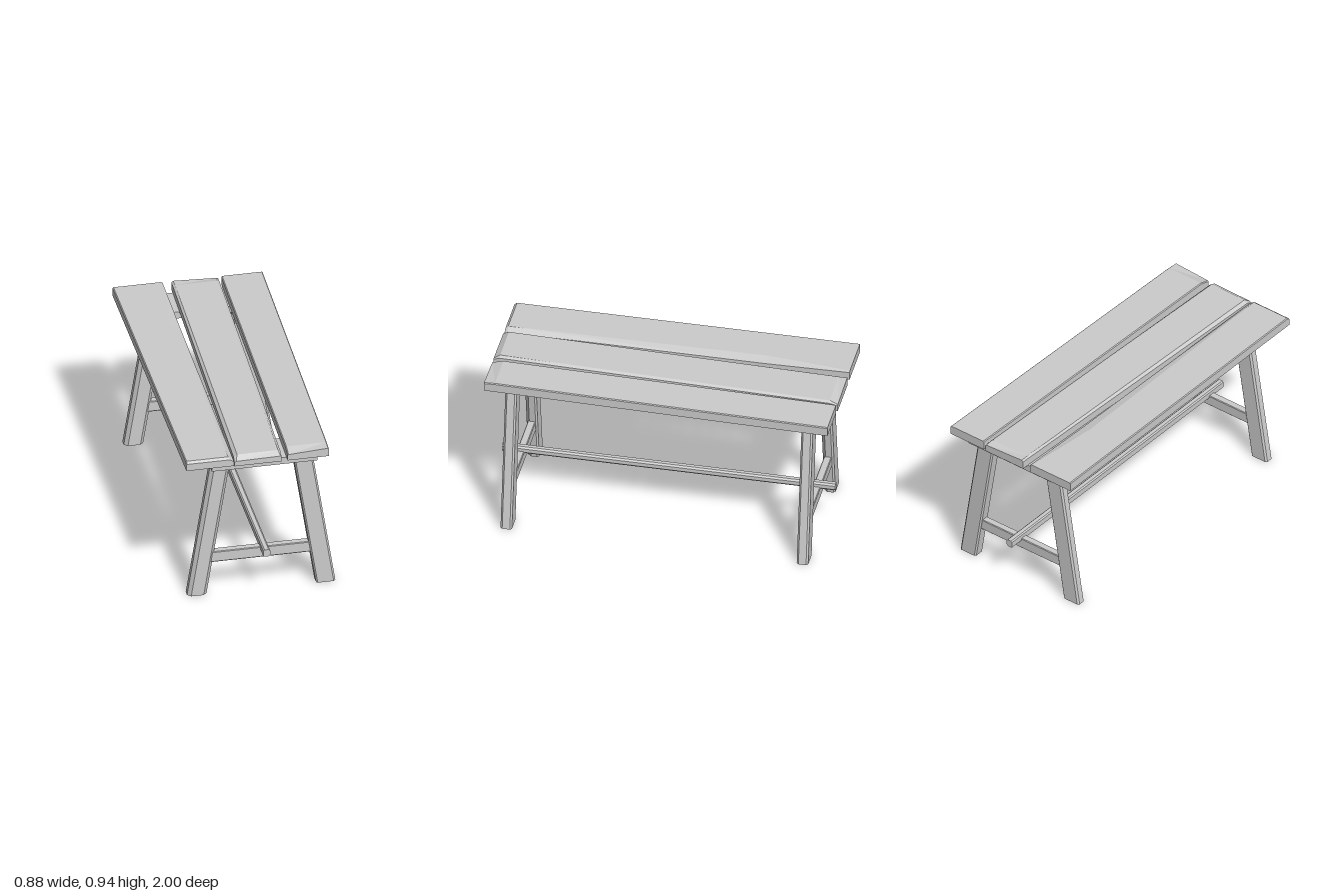
import * as THREE from 'three';

const material = new THREE.MeshStandardMaterial({ color: 0xcccccc, flatShading: true });

// Solid skinned over convex sections; each section is { w, pts: [[u, v], ...] }.
// toXYZ maps (u, v, w) to (x, y, z) by a cyclic permutation.
function loft(name, sections, toXYZ) {
  const pos = [];
  const rings = sections.map(s => s.pts.map(([u, v]) => toXYZ(u, v, s.w)));
  const tri = (...corners) => corners.forEach(c => pos.push(...c));
  const n = rings[0].length;
  for (let k = 0; k < rings.length - 1; k++) {
    const a = rings[k], b = rings[k + 1];
    for (let i = 0; i < n; i++) {
      const j = (i + 1) % n;
      tri(a[i], a[j], b[j]);
      tri(a[i], b[j], b[i]);
    }
  }
  const first = rings[0], last = rings[rings.length - 1];
  for (let i = 1; i < n - 1; i++) {
    tri(first[0], first[i + 1], first[i]);
    tri(last[0], last[i], last[i + 1]);
  }
  const geometry = new THREE.BufferGeometry();
  geometry.setAttribute('position', new THREE.Float32BufferAttribute(pos, 3));
  geometry.computeVertexNormals();
  const mesh = new THREE.Mesh(geometry, material);
  mesh.name = name;
  return mesh;
}

const alongZ = (u, v, w) => [u, v, w];
const alongY = (u, v, w) => [v, w, u];
const alongX = (u, v, w) => [w, u, v];

// Rectangle with chamfered corners, counter-clockwise from (u0, v0);
// c holds the chamfers at (u0,v0), (u1,v0), (u1,v1), (u0,v1).
function chamfered(u0, u1, v0, v1, [a, b, c, d]) {
  return [[u0 + a, v0], [u1 - b, v0], [u1, v0 + b], [u1, v1 - c],
    [u1 - c, v1], [u0 + d, v1], [u0, v1 - d], [u0, v0 + a]];
}

// Plank section: underside, sides, and a top with a worn edge on either side.
const BOTTOM = 0.885, TOP = 0.94;
function plankSection(w, x0, x1, { left = [0.005, 0.005], right = [0.005, 0.005], drop = [0, 0] } = {}) {
  return { w, pts: [
    [x0, BOTTOM], [x1, BOTTOM],
    [x1, TOP - right[1] - drop[1]], [x1 - right[0], TOP - drop[1]],
    [x0 + left[0], TOP - drop[0]], [x0, TOP - left[1] - drop[0]],
  ] };
}

export function createModel() {
  const model = new THREE.Group();

  // Table top: three worn, slightly skewed planks
  const top = new THREE.Group();
  top.name = 'tableTop';
  top.add(
    loft('leftPlank', [
      plankSection(-1, -0.443, -0.155, { right: [0.01, 0.006] }),
      plankSection(-0.52, -0.443, -0.159, { right: [0.058, 0.016] }),
      plankSection(0.975, -0.443, -0.17, { right: [0.03, 0.022] }),
      plankSection(0.99, -0.443, -0.17, { right: [0.025, 0.014], drop: [0.012, 0.012] }),
    ], alongZ),
    loft('middlePlank', [
      plankSection(-1, -0.105, 0.165, { left: [0.01, 0.008], drop: [0, 0.012] }),
      plankSection(-0.95, -0.106, 0.163, { left: [0.012, 0.008], right: [0.015, 0.01] }),
      plankSection(0.96, -0.165, 0.106, { left: [0.02, 0.015], right: [0.015, 0.012] }),
      plankSection(0.995, -0.167, 0.104, { left: [0.01, 0.008], drop: [0.024, 0.02] }),
    ], alongZ),
    loft('rightPlank', [
      plankSection(-0.995, 0.182, 0.42),
      plankSection(0.93, 0.141, 0.379),
      plankSection(0.993, 0.14, 0.377, { drop: [0.018, 0.004] }),
    ], alongZ),
  );
  model.add(top);

  // Trestles, one at each end
  for (const end of [1, -1]) {
    const trestle = new THREE.Group();
    trestle.name = end > 0 ? 'frontTrestle' : 'backTrestle';

    const batten = new THREE.Mesh(new THREE.BoxGeometry(0.61, 0.042, 0.215), material);
    batten.name = 'batten';
    batten.position.set(0.015, 0.866, end * 0.852);
    trestle.add(batten);

    // Splayed legs with chamfered corners
    const z0 = end * 0.853 - 0.033, z1 = end * 0.853 + 0.033;
    const leftChamfers = [0.01, 0.02, 0.02, 0.01];
    const rightChamfers = [0.008, 0.008, 0.012, 0.01];
    const leg = (name, footX, topX, chamfers) => loft(name, [
      { w: 0, pts: chamfered(z0, z1, footX, footX + 0.112, chamfers) },
      { w: 0.85, pts: chamfered(z0, z1, topX, topX + 0.112, chamfers) },
    ], alongY);
    trestle.add(
      leg('rightLeg', -0.413, -0.276, leftChamfers),
      leg('leftLeg', 0.328, 0.195, rightChamfers),
    );

    // Crossbar between the legs
    const bar = chamfered(0.2, 0.268, end * 0.853 - 0.022, end * 0.853 + 0.022,
      [0.006, 0.004, 0.004, 0.006]);
    trestle.add(loft('crossbar', [{ w: -0.3, pts: bar }, { w: 0.34, pts: bar }], alongX));
    model.add(trestle);
  }

  // Long stretcher resting on the crossbars
  const rail = chamfered(0.007, 0.047, 0.252, 0.296, [0.003, 0.012, 0.01, 0.007]);
  model.add(loft('stretcher', [{ w: -0.96, pts: rail }, { w: 0.96, pts: rail }], alongZ));

  return model;
}
